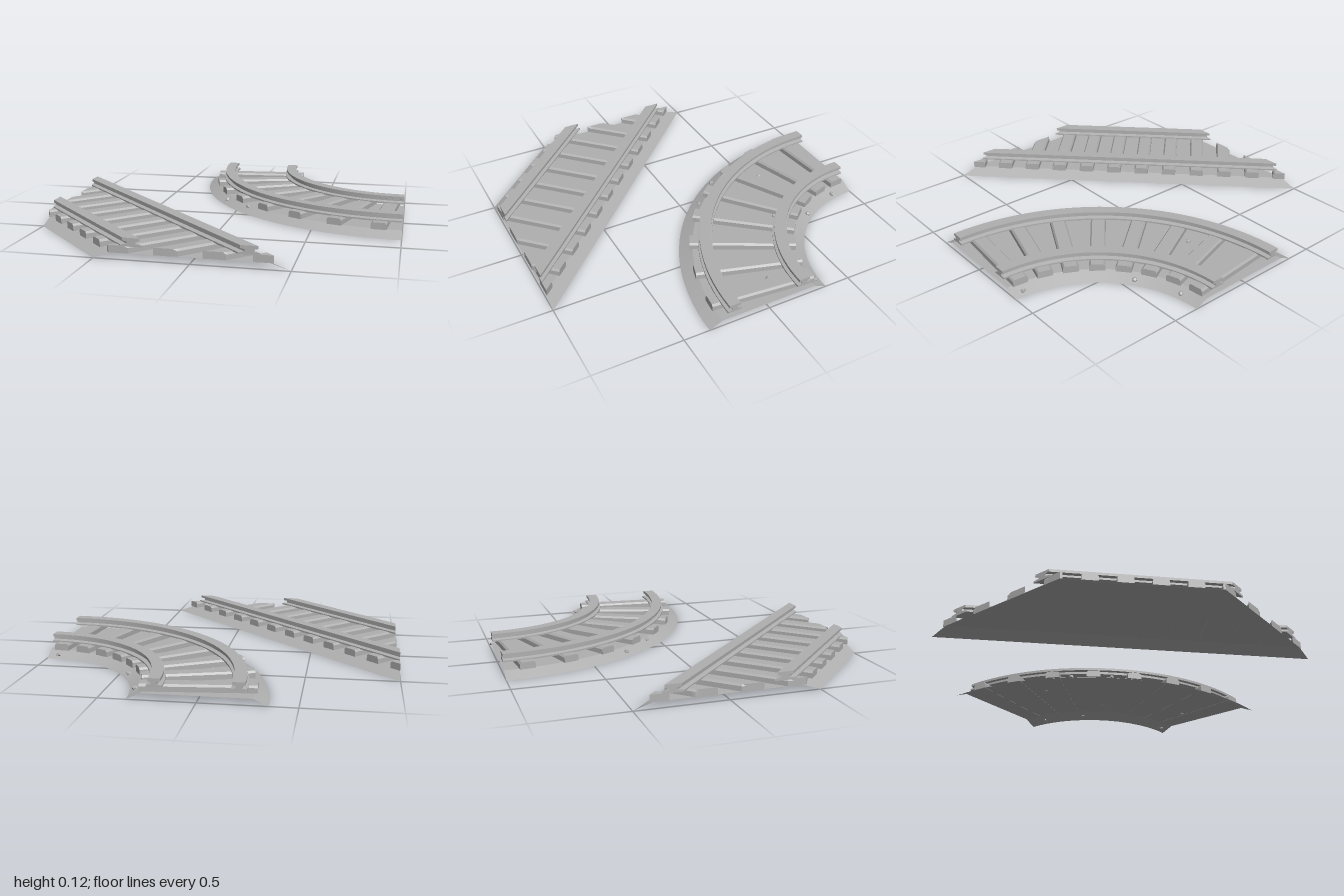
import * as THREE from 'three';
import { toCreasedNormals } from 'three/addons/utils/BufferGeometryUtils.js';

const GAUGE_LIMIT = Math.SQRT1_2; // half length of the straight at its centre line
const PITCH = 0.177, TIE_HALF = 0.295, TIE_W = 0.043;
const BED_EDGE = 0.355, BED_FLAT = 0.28, BED_Y = 0.035;

// Sweeps a (t, y) profile along u = 0..1; place(u, t) gives [x, z].
function sweep(profile, place, steps, closed = true) {
  const pos = [], index = [], n = profile.length;
  for (let i = 0; i <= steps; i++) {
    for (const [t, y] of profile) {
      const [x, z] = place(i / steps, t);
      pos.push(x, y, z);
    }
  }
  for (let i = 0; i < steps; i++) {
    for (let j = 0; j < (closed ? n : n - 1); j++) {
      const a = i * n + j, b = i * n + (j + 1) % n;
      index.push(a, b, b + n, a, b + n, a + n);
    }
  }
  if (closed) {
    const outline = profile.map(([t, y]) => new THREE.Vector2(t, y));
    const end = steps * n;
    for (const [a, b, c] of THREE.ShapeUtils.triangulateShape(outline, [])) {
      index.push(a, c, b, end + a, end + b, end + c);
    }
  }
  const geo = new THREE.BufferGeometry();
  geo.setAttribute('position', new THREE.Float32BufferAttribute(pos, 3));
  geo.setIndex(index);
  return toCreasedNormals(geo, 0.4);
}

// Rail section: foot, web and head, centred on t = c
const railProfile = (c) => [
  [-0.04, 0.07], [0.04, 0.07], [0.04, 0.079], [0.016, 0.084], [0.016, 0.096],
  [0.032, 0.1], [0.032, 0.115], [-0.032, 0.115], [-0.032, 0.1],
  [-0.016, 0.096], [-0.016, 0.084], [-0.04, 0.079],
].map(([t, y]) => [t + c, y]);

// Sleeper section with chamfered top edges
const tieProfile = [
  [-TIE_W, BED_Y - 0.001], [TIE_W, BED_Y - 0.001], [TIE_W, 0.062],
  [TIE_W - 0.009, 0.073], [-TIE_W + 0.009, 0.073], [-TIE_W, 0.062],
];

// Ballast sheet, open underneath
const bedProfile = [[BED_EDGE, 0], [BED_FLAT, BED_Y], [-BED_FLAT, BED_Y], [-BED_EDGE, 0]];

// Diagonal straight: s runs along the track, t across it
const diagonal = (s, t) => [-0.5 + (s + t) * Math.SQRT1_2, 0.5 + (s - t) * Math.SQRT1_2];
const straightPath = (u, t) => diagonal((2 * u - 1) * (GAUGE_LIMIT + t), t);

// Quarter curve about the far corner
const curvePath = (u, t) => {
  const a = (1 - u) * Math.PI / 2, r = 1 + t;
  return [1 - r * Math.cos(a), -1 + r * Math.sin(a)];
};

export function createModel() {
  const model = new THREE.Group();
  model.name = 'trackPieces';
  const grey = new THREE.MeshStandardMaterial({ color: 0xb0b0b0, side: THREE.DoubleSide });
  grey.name = 'grey';

  const add = (parent, name, geo) => {
    const mesh = new THREE.Mesh(geo, grey);
    mesh.name = name;
    parent.add(mesh);
    return mesh;
  };

  // Ballast and the two rails of each piece
  const track = (name, path, steps) => {
    const piece = new THREE.Group();
    piece.name = name;
    model.add(piece);
    add(piece, 'ballast', sweep(bedProfile, path, steps, false));
    add(piece, 'rightRail', sweep(railProfile(-0.21), path, steps));
    add(piece, 'leftRail', sweep(railProfile(0.21), path, steps));
    return piece;
  };
  const straight = track('straightTrack', straightPath, 1);
  const curve = track('curvedTrack', curvePath, 32);

  // Straight sleepers, trimmed by the slanted ends
  for (let k = -6; k < 6; k++) {
    const s = (k + 0.5) * PITCH;
    const tMin = Math.max(-TIE_HALF, Math.abs(s) - TIE_W - GAUGE_LIMIT);
    if (tMin > TIE_HALF - 0.01) continue;
    const trimmed = Math.abs(s) + TIE_W - GAUGE_LIMIT > tMin;
    const place = (u, w) => {
      const t = TIE_HALF + (tMin - TIE_HALF) * u;
      const limit = GAUGE_LIMIT + t;
      return diagonal(THREE.MathUtils.clamp(s + w, -limit, limit), t);
    };
    add(straight, 'sleeper', sweep(tieProfile, place, trimmed ? 24 : 1));
  }

  // Curve sleepers, fanned over the quarter turn
  for (let k = 0; k < 8; k++) {
    const a = (k + 0.5) * Math.PI / 16, sin = Math.sin(a), cos = Math.cos(a);
    const place = (u, w) => {
      const r = 1 + (2 * u - 1) * TIE_HALF;
      return [1 - r * cos + w * sin, -1 + r * sin + w * cos];
    };
    add(curve, 'sleeper', sweep(tieProfile, place, 1));
  }

  // Loose stones on the curved ballast
  const stones = [[-0.01, -0.56], [-0.1, -0.27], [0.07, -0.09], [0.39, -0.42],
    [0.84, -0.09], [0.34, -0.87], [0.44, -0.625], [0.94, -0.33]];
  stones.forEach(([x, z], i) => {
    const offset = Math.abs(Math.hypot(x - 1, z + 1) - 1);
    const slope = THREE.MathUtils.clamp((BED_EDGE - offset) / (BED_EDGE - BED_FLAT), 0, 1);
    const stone = add(curve, 'stone', new THREE.DodecahedronGeometry(0.015, 0));
    stone.position.set(x, BED_Y * slope + 0.004, z);
    stone.rotation.set(i, i * 2, 0);
    stone.scale.y = 0.8;
  });

  return model;
}
